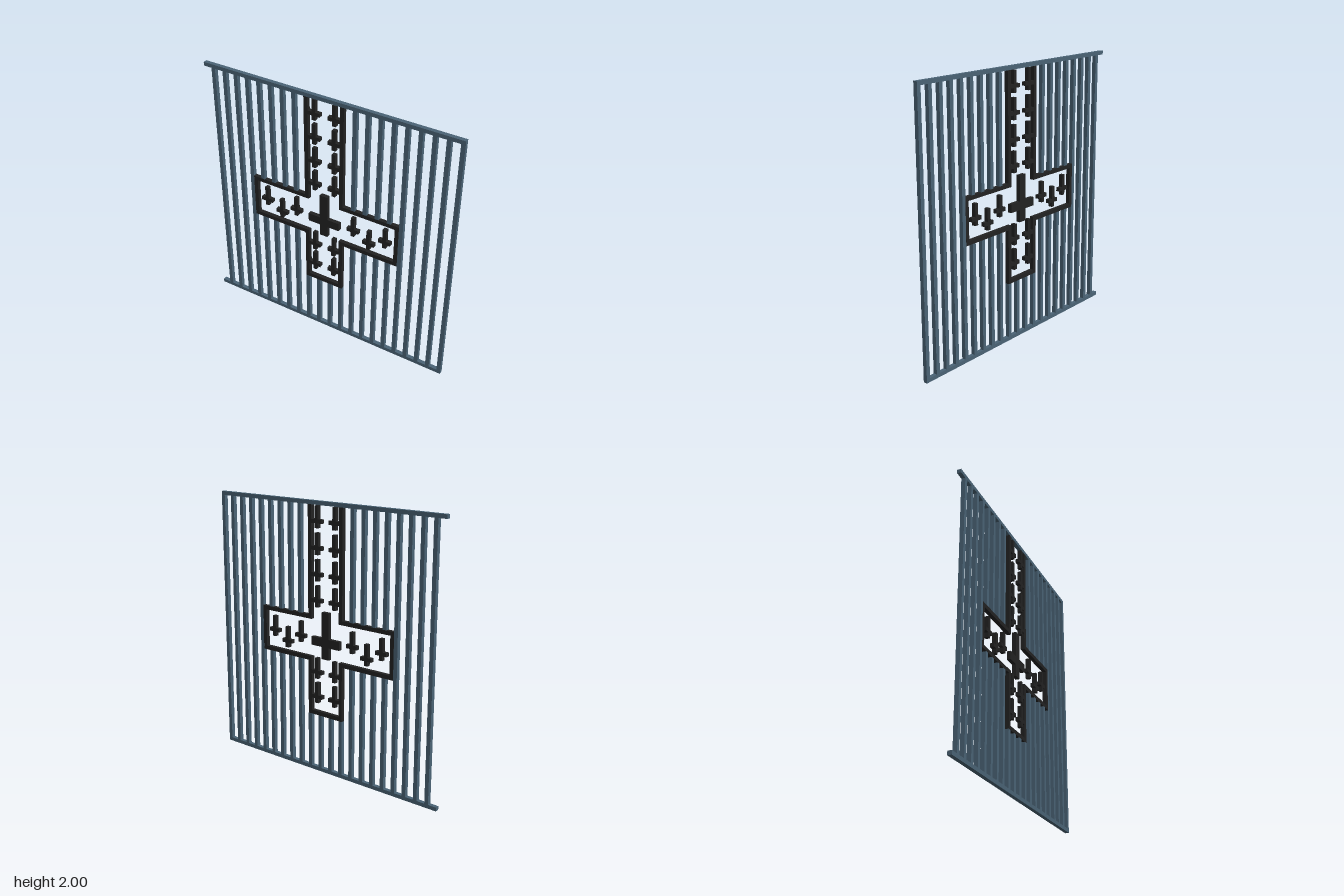
import * as THREE from 'three';

const DEPTH = 0.03;
const STEEL = new THREE.MeshStandardMaterial({ color: 0x4a6375 });
STEEL.name = 'blueSteel';
const IRON = new THREE.MeshStandardMaterial({ color: 0x222222 });
IRON.name = 'blackIron';

// Box given by its x and y limits, centred on z = 0
function slab(name, x0, x1, y0, y1, material) {
  const mesh = new THREE.Mesh(new THREE.BoxGeometry(x1 - x0, y1 - y0, DEPTH), material);
  mesh.position.set((x0 + x1) / 2, (y0 + y1) / 2, 0);
  mesh.name = name;
  return mesh;
}

// Flat shape extruded to the grille's depth
function plate(name, points, material) {
  const shape = new THREE.Shape(points.map(([x, y]) => new THREE.Vector2(x, y)));
  const geometry = new THREE.ExtrudeGeometry(shape, { depth: DEPTH, bevelEnabled: false });
  geometry.translate(0, 0, -DEPTH / 2);
  const mesh = new THREE.Mesh(geometry, material);
  mesh.name = name;
  return mesh;
}

// Solid cross: h = arm height, half = half arm span, w = bar width
function cross(name, x, h, half, up, down, w) {
  const r = w / 2;
  return plate(name, [
    [x - r, h - down], [x + r, h - down], [x + r, h - r], [x + half, h - r],
    [x + half, h + r], [x + r, h + r], [x + r, h + up], [x - r, h + up],
    [x - r, h + r], [x - half, h + r], [x - half, h - r], [x - r, h - r],
  ], IRON);
}

// Cross outline, open at the top, pulled in by t
const TOP = 1.972, BOTTOM = 0.44;
const STEM = [-0.17, 0.138], ARM_X = [-0.609, 0.577], ARM_Y = [0.848, 1.188];
function outline(t) {
  const [l, r] = [STEM[0] + t, STEM[1] - t];
  const [al, ar] = [ARM_X[0] + t, ARM_X[1] - t];
  const [lo, hi] = [ARM_Y[0] + t, ARM_Y[1] - t];
  return [[l, TOP], [l, hi], [al, hi], [al, lo], [l, lo], [l, BOTTOM + t],
    [r, BOTTOM + t], [r, lo], [ar, lo], [ar, hi], [r, hi], [r, TOP]];
}

export function createModel() {
  const model = new THREE.Group();
  model.name = 'crossGrille';

  // Top and bottom rails
  model.add(slab('bottomRail', -0.984, 0.982, 0, 0.028, STEEL));
  model.add(slab('topRail', -0.984, 0.982, TOP, 2, STEEL));

  // Upright bars, interrupted where the cross frame sits
  const bars = new THREE.Group();
  bars.name = 'uprightBars';
  for (let i = 0; i < 21; i++) {
    const x = 0.967 - i * 0.0936;
    const add = (y0, y1) => bars.add(slab('bar', x - 0.015, x + 0.015, y0, y1, STEEL));
    const inStem = x > STEM[0] && x < STEM[1];
    const inArms = x > ARM_X[0] && x < ARM_X[1];
    if (inStem) add(0.028, BOTTOM);
    else if (inArms) {
      add(0.028, ARM_Y[0]);
      add(ARM_Y[1], TOP);
    } else add(0.028, TOP);
  }
  model.add(bars);

  // Frame band around the open cross
  model.add(plate('crossFrame', [...outline(0), ...outline(0.03).reverse()], IRON));

  // Large cross at the middle
  model.add(cross('centreCross', -0.017, 0.999, 0.125, 0.223, 0.122, 0.063));

  // Small crosses in the stem and arms
  const small = new THREE.Group();
  small.name = 'smallCrosses';
  const addSmall = (x, h) => small.add(cross('smallCross', x, h, 0.047, 0.108, 0.048, 0.028));
  for (const h of [1.859, 1.672, 1.485, 1.298, 0.767, 0.58]) {
    addSmall(-0.094, h);
    addSmall(0.062, h);
  }
  for (const [x, h] of [[-0.486, 1.015], [-0.361, 0.951], [-0.235, 1.015]]) {
    addSmall(-0.016 + x, h);
    addSmall(-0.016 - x, h);
  }
  model.add(small);
  return model;
}
